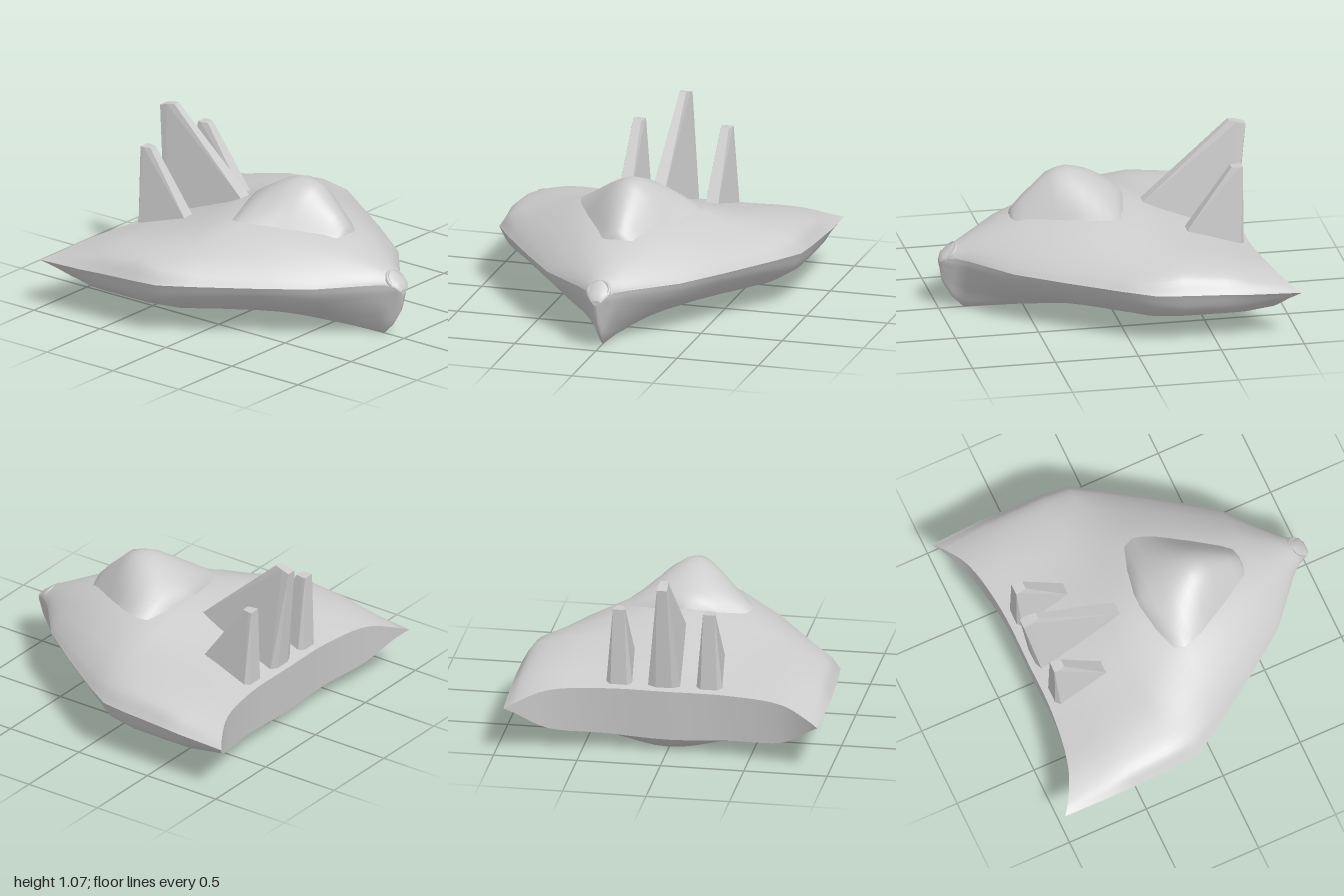
import * as THREE from 'three';
import { ConvexGeometry } from 'three/addons/geometries/ConvexGeometry.js';

const grey = new THREE.MeshStandardMaterial({ color: 0xcccccc, side: THREE.DoubleSide });
const flat = new THREE.MeshStandardMaterial({ color: 0xcccccc, flatShading: true });

function add(parent, name, geometry, material = grey) {
  const mesh = new THREE.Mesh(geometry, material);
  mesh.name = name;
  parent.add(mesh);
  return mesh;
}

// Skin over rows of points; each row runs from -x to +x
function skin(rows, flip = false) {
  const n = rows[0].length, index = [];
  for (let i = 0; i < rows.length - 1; i++) {
    for (let j = 0; j < n - 1; j++) {
      const a = i * n + j, b = a + 1, c = a + n, d = c + 1;
      if (flip) index.push(a, c, b, b, c, d);
      else index.push(a, b, c, b, d, c);
    }
  }
  const g = new THREE.BufferGeometry().setFromPoints(rows.flat());
  g.setIndex(index);
  g.computeVertexNormals();
  return g;
}

// Hull stations: z, half width, edge height, upper heights, lower heights.
// Heights are given at the fractions U of the half width.
const U = [0, 0.4, 0.75, 0.93];
const STATIONS = [
  [1.00, 0.03, 0.30, [0.31, 0.31, 0.305, 0.30], [0.28, 0.28, 0.29, 0.30]],
  [0.98, 0.06, 0.33, [0.35, 0.35, 0.345, 0.34], [0.17, 0.22, 0.28, 0.31]],
  [0.92, 0.085, 0.34, [0.40, 0.39, 0.37, 0.35], [0.07, 0.16, 0.25, 0.30]],
  [0.85, 0.15, 0.34, [0.43, 0.42, 0.39, 0.36], [0, 0.12, 0.24, 0.30]],
  [0.63, 0.41, 0.34, [0.54, 0.51, 0.43, 0.37], [0, 0.10, 0.21, 0.29]],
  [0.35, 0.615, 0.34, [0.62, 0.585, 0.48, 0.39], [0, 0.08, 0.18, 0.28]],
  [0.05, 0.82, 0.34, [0.65, 0.625, 0.50, 0.40], [0, 0.07, 0.15, 0.26]],
  [-0.13, 0.93, 0.34, [0.64, 0.58, 0.49, 0.42], [0, 0.07, 0.13, 0.23]],
  [-0.30, 0.945, 0.335, [0.565, 0.53, 0.495, 0.435], [0, 0.07, 0.12, 0.21]],
  [-0.55, 0.95, 0.325, [0.475, 0.47, 0.46, 0.41], [0, 0.07, 0.12, 0.21]],
  [-0.69, 0.95, 0.315, [0.43, 0.43, 0.43, 0.38], [0, 0.07, 0.12, 0.21]],
  [-0.80, 0.94, 0.30, [0.395, 0.395, 0.38, 0.325], [0.08, 0.10, 0.135, 0.25]],
];

function hullRow([z, w, edge, upper, lower], side, last) {
  const heights = side === 'upper' ? upper : lower;
  // The stern sweeps back to the wing tips
  const sweep = (u) => !last ? z : side === 'upper' ? -0.81 - 0.19 * u ** 4 : -0.78 - 0.22 * u ** 4;
  const half = U.map((u, i) => new THREE.Vector3(u * w, heights[i], sweep(u)));
  half.push(new THREE.Vector3(w, edge, sweep(1)));
  const mirrored = half.slice(1).reverse().map((p) => new THREE.Vector3(-p.x, p.y, p.z));
  const curve = new THREE.CatmullRomCurve3([...mirrored, ...half]);
  return curve.getPoints(40);
}

// Fin: a six-sided tapering blade; rings of [half width, y, z] for front, middle, back
function fin(base, top) {
  const points = [];
  for (const [w, y, z] of [...base, ...top]) {
    points.push(new THREE.Vector3(-w, y, z), new THREE.Vector3(w, y, z));
  }
  return new ConvexGeometry(points);
}

export function createModel() {
  const model = new THREE.Group();
  model.name = 'spacecraft';

  // Hull with sharp side edges
  const rows = (side) => STATIONS.map((s, i) => hullRow(s, side, i === STATIONS.length - 1));
  const upper = rows('upper'), lower = rows('lower');
  const hull = new THREE.Group();
  hull.name = 'hull';
  model.add(hull);
  add(hull, 'upperHull', skin(upper));
  add(hull, 'lowerHull', skin(lower, true));
  add(hull, 'stern', skin([upper.at(-1), lower.at(-1)]));
  add(hull, 'noseTip', skin([lower[0], upper[0]], true));

  // Canopy: z, half width, base, ridge
  const canopy = [
    [0.575, 0.06, 0.54, 0.56], [0.56, 0.09, 0.55, 0.605], [0.50, 0.13, 0.575, 0.67], [0.35, 0.225, 0.595, 0.81],
    [0.29, 0.26, 0.60, 0.83], [0.23, 0.295, 0.61, 0.84], [0.17, 0.33, 0.615, 0.825], [0.10, 0.36, 0.62, 0.80],
    [0.04, 0.375, 0.62, 0.765], [-0.02, 0.35, 0.61, 0.73], [-0.07, 0.23, 0.61, 0.70], [-0.10, 0.1, 0.60, 0.65],
  ].map(([z, w, base, ridge]) => {
    const row = [];
    for (let j = -10; j <= 10; j++) {
      const u = j / 10;
      row.push(new THREE.Vector3(u * w, base + (ridge - base) * Math.cos(u * Math.PI / 2), z));
    }
    return row;
  });
  add(model, 'canopy', skin(canopy));

  // Nose port: rimmed disc tilted upward
  const port = new THREE.Group();
  port.name = 'nosePort';
  const profile = [[0.05, -0.06], [0.072, -0.03], [0.075, 0], [0.068, 0.01], [0.057, 0.008], [0.053, -0.01], [0, -0.01]];
  add(port, 'portRim', new THREE.LatheGeometry(profile.map(([x, y]) => new THREE.Vector2(x, y)), 20));
  port.position.set(0, 0.355, 0.94);
  port.rotation.x = 0.82;
  model.add(port);

  // Tail fins
  const fins = new THREE.Group();
  fins.name = 'tailFins';
  fins.position.x = 0.02;
  model.add(fins);
  add(fins, 'centreFin', fin(
    [[0.04, 0.60, -0.22], [0.10, 0.37, -0.75], [0.05, 0.37, -0.77]],
    [[0.02, 1.07, -0.74], [0.03, 1.06, -0.79], [0.03, 1.045, -0.84]]), flat);
  for (const side of [-1, 1]) {
    add(fins, side > 0 ? 'leftFin' : 'rightFin', fin(
      [[0.04, 0.48, -0.415], [0.08, 0.38, -0.745], [0.05, 0.38, -0.77]],
      [[0.024, 0.88, -0.70], [0.035, 0.88, -0.745], [0.035, 0.88, -0.767]]), flat).position.x = side * 0.27;
  }
  return model;
}
